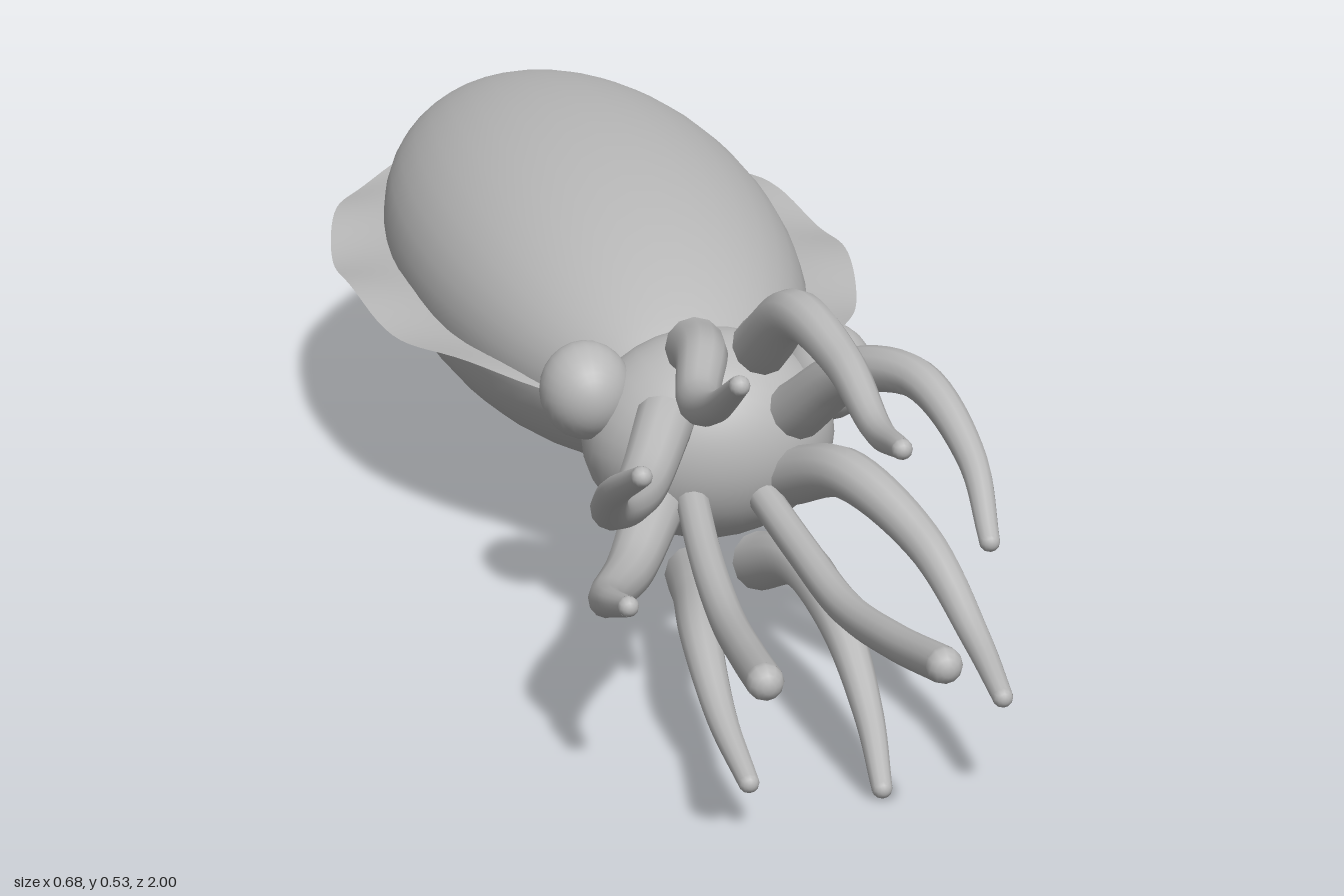
import * as THREE from 'three';

const MID_Y = 0.265;

export function createModel() {
  const group = new THREE.Group();
  const skin = new THREE.MeshStandardMaterial({ color: 0xb8b8b8, side: THREE.DoubleSide });
  skin.name = 'paleGrey';

  const add = (name, geometry) => {
    const mesh = new THREE.Mesh(geometry, skin);
    mesh.name = name;
    group.add(mesh);
    return mesh;
  };

  const ellipsoid = (name, [x, y, z], [rx, ry, rz], sides = 32) => {
    const geometry = new THREE.SphereGeometry(1, sides, sides * 0.75);
    geometry.rotateX(Math.PI / 2).scale(rx, ry, rz).translate(x, y, z);
    return add(name, geometry);
  };

  // Tube that tapers from base to tip, closed with a round tip
  const limb = (name, points, baseRadius, tipRadius) => {
    const path = new THREE.CatmullRomCurve3(points.map((p) => new THREE.Vector3(...p)));
    const segments = 28, sides = 12;
    const geometry = new THREE.TubeGeometry(path, segments, 1, sides);
    const position = geometry.attributes.position;
    const v = new THREE.Vector3();
    for (let i = 0; i <= segments; i++) {
      const t = i / segments;
      const centre = path.getPointAt(t);
      const radius = THREE.MathUtils.lerp(baseRadius, tipRadius, t);
      for (let j = 0; j <= sides; j++) {
        const k = i * (sides + 1) + j;
        v.fromBufferAttribute(position, k).sub(centre).multiplyScalar(radius).add(centre);
        position.setXYZ(k, v.x, v.y, v.z);
      }
    }
    add(name, geometry);
    ellipsoid(name + 'Tip', points[points.length - 1], [tipRadius, tipRadius, tipRadius], 12);
  };

  // Body
  ellipsoid('mantle', [0, MID_Y, -0.39], [0.26, 0.19, 0.61], 40);
  ellipsoid('head', [0, MID_Y + 0.002, 0.295], [0.155, 0.129, 0.125]);

  for (const side of [-1, 1]) {
    const label = side > 0 ? 'left' : 'right';
    ellipsoid(label + 'Eye', [side * 0.15, 0.332, 0.29], [0.056, 0.06, 0.06], 24);

    // Thin rippling fin along the side of the mantle
    const fin = new THREE.PlaneGeometry(1, 1, 4, 48);
    const p = fin.attributes.position;
    for (let i = 0; i < p.count; i++) {
      const across = p.getX(i) + 0.5;
      const a = p.getY(i) * 2;
      const bow = Math.sqrt(Math.max(0, 1 - a * a));
      const x = bow * THREE.MathUtils.lerp(0.22, 0.34, across);
      const ripple = 0.008 * across * Math.sin(a * 11);
      p.setXYZ(i, side * x, MID_Y + ripple, -0.39 + a * 0.555);
    }
    fin.computeVertexNormals();
    add(label + 'Fin', fin);

    // Long feeding tentacle
    limb(label + 'Tentacle', [
      [side * 0.04, 0.225, 0.37], [side * 0.058, 0.2, 0.53], [side * 0.07, 0.19, 0.68],
      [side * 0.085, 0.213, 0.84], [side * 0.1, 0.243, 0.978],
    ], 0.02, 0.021);
  }

  // Eight curling arms in a ring around the mouth
  const arms = [
    [[0.085, 0.322, 0.39], [0.13, 0.405, 0.49], [0.18, 0.425, 0.59], [0.21, 0.37, 0.7], [0.205, 0.305, 0.795]],
    [[0.04, 0.41, 0.395], [0.055, 0.485, 0.5], [0.08, 0.465, 0.62], [0.088, 0.428, 0.74], [0.085, 0.447, 0.85]],
    [[-0.04, 0.415, 0.395], [-0.055, 0.435, 0.49], [-0.085, 0.425, 0.6], [-0.09, 0.46, 0.71], [-0.085, 0.515, 0.795]],
    [[-0.075, 0.325, 0.39], [-0.13, 0.285, 0.5], [-0.19, 0.31, 0.62], [-0.213, 0.38, 0.74], [-0.207, 0.44, 0.85]],
    [[-0.09, 0.21, 0.39], [-0.14, 0.18, 0.49], [-0.19, 0.195, 0.6], [-0.212, 0.235, 0.71], [-0.21, 0.265, 0.795]],
    [[-0.04, 0.125, 0.395], [-0.06, 0.14, 0.5], [-0.085, 0.14, 0.62], [-0.09, 0.095, 0.74], [-0.085, 0.063, 0.85]],
    [[0.04, 0.135, 0.395], [0.065, 0.17, 0.49], [0.085, 0.135, 0.6], [0.092, 0.065, 0.71], [0.085, 0.013, 0.795]],
    [[0.08, 0.24, 0.39], [0.12, 0.28, 0.5], [0.18, 0.235, 0.62], [0.208, 0.165, 0.74], [0.208, 0.138, 0.85]],
  ];
  arms.forEach((points, i) => limb('arm' + (i + 1), points, 0.036, 0.012));

  return group;
}
